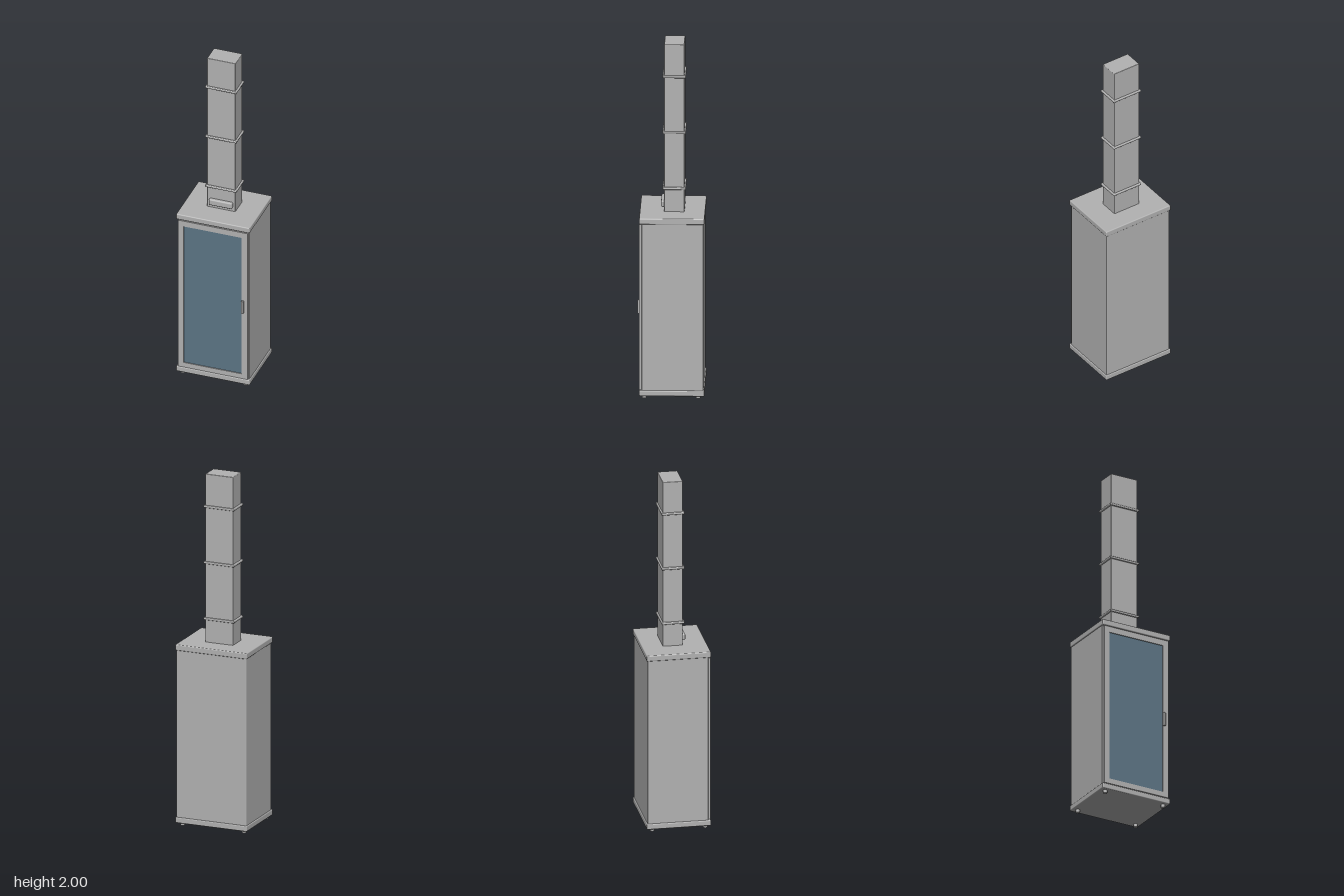
import * as THREE from 'three';
import { RoundedBoxGeometry } from 'three/addons/geometries/RoundedBoxGeometry.js';

export function createModel() {
  const model = new THREE.Group();
  model.name = 'cabinetStove';

  const steel = new THREE.MeshStandardMaterial({ color: 0xb2b2b2 });
  steel.name = 'grey steel';
  const glass = new THREE.MeshStandardMaterial({ color: 0x5c7585 });
  glass.name = 'blue glass';

  const add = (name, geometry, material = steel) => {
    const mesh = new THREE.Mesh(geometry, material);
    mesh.name = name;
    model.add(mesh);
    return mesh;
  };

  // Rounded box given by its limits on each axis
  const block = (name, [x0, x1], [y0, y1], [z0, z1], radius) => {
    const mesh = add(name, new RoundedBoxGeometry(x1 - x0, y1 - y0, z1 - z0, 2, radius));
    mesh.position.set((x0 + x1) / 2, (y0 + y1) / 2, (z0 + z1) / 2);
    return mesh;
  };

  // Cabinet with base and top slabs
  block('baseSlab', [-0.215, 0.215], [0.017, 0.05], [-0.184, 0.174], 0.006);
  block('cabinetBody', [-0.21, 0.21], [0.04, 1.01], [-0.179, 0.16], 0.005);
  block('topSlab', [-0.215, 0.215], [1.004, 1.038], [-0.184, 0.174], 0.006);

  // Door frame with a window opening
  const frame = new THREE.Shape([
    [-0.204, 0.052], [0.204, 0.052], [0.204, 1.0], [-0.204, 1.0],
  ].map(([x, y]) => new THREE.Vector2(x, y)));
  frame.holes.push(new THREE.Path([
    [-0.171, 0.082], [-0.171, 0.966], [0.169, 0.966], [0.169, 0.082],
  ].map(([x, y]) => new THREE.Vector2(x, y))));
  add('doorFrame', new THREE.ExtrudeGeometry(frame, { depth: 0.014, bevelEnabled: false }))
    .position.z = 0.159;

  // Window pane set slightly back in the frame
  add('doorWindow', new THREE.BoxGeometry(0.34, 0.884, 0.008), glass)
    .position.set(-0.001, 0.524, 0.164);

  block('doorHandle', [0.168, 0.181], [0.48, 0.56], [0.165, 0.184], 0.003);

  // Feet
  for (const x of [-0.184, 0.184]) {
    for (const z of [-0.149, 0.146]) {
      add('foot', new THREE.CylinderGeometry(0.012, 0.012, 0.024, 20)).position.set(x, 0.012, z);
    }
  }

  // Rectangular flue with collars and a front damper plate
  block('flue', [-0.083, 0.083], [1.03, 2], [-0.071, 0.04], 0.004);
  for (const y of [1.172, 1.493, 1.814]) {
    block('flueCollar', [-0.092, 0.092], [y - 0.007, y + 0.007], [-0.079, 0.049], 0.005);
  }
  block('damperPlate', [-0.068, 0.068], [1.058, 1.096], [0.03, 0.058], 0.008);

  return model;
}
